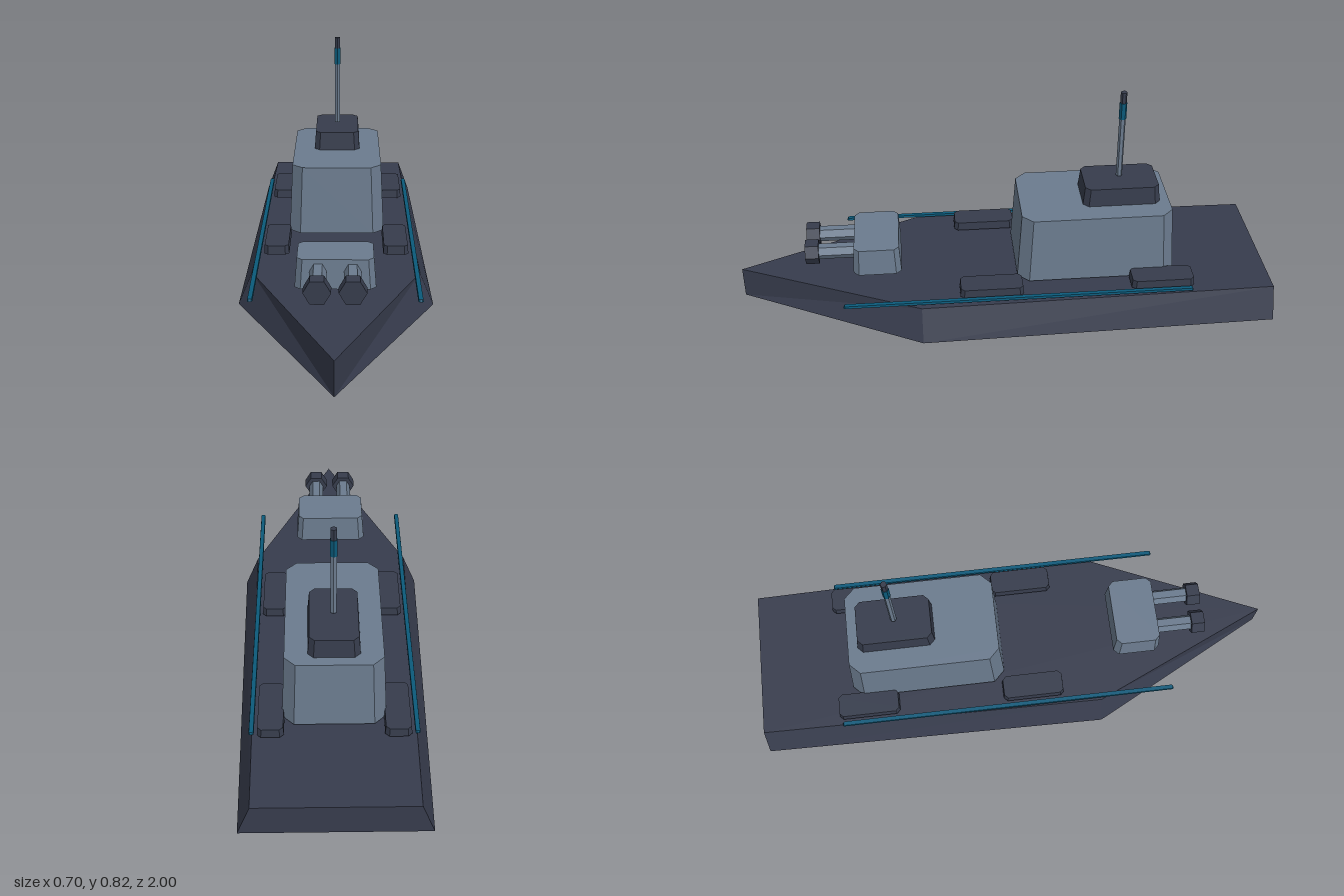
import * as THREE from 'three';

const material = (name, color) => {
  const m = new THREE.MeshStandardMaterial({ color, flatShading: true });
  m.name = name;
  return m;
};

// Upright block with chamfered corners; sx and sz scale its top
function taperedBlock(w, h, d, chamfer, sx, sz) {
  const x = w / 2, z = d / 2, c = chamfer;
  const outline = [[x, c - z], [x, z - c], [x - c, z], [c - x, z], [-x, z - c], [-x, c - z], [c - x, -z], [x - c, -z]];
  const shape = new THREE.Shape(outline.map(([a, b]) => new THREE.Vector2(a, b)));
  const geo = new THREE.ExtrudeGeometry(shape, { depth: h, bevelEnabled: false });
  geo.rotateX(-Math.PI / 2);
  const p = geo.attributes.position;
  for (let i = 0; i < p.count; i++) {
    const t = p.getY(i) / h;
    p.setX(i, p.getX(i) * (1 + (sx - 1) * t));
    p.setZ(i, p.getZ(i) * (1 + (sz - 1) * t));
  }
  geo.computeVertexNormals();
  return geo;
}

// Hull shell, open underneath: sloped sides and a flat deck
function hullGeometry() {
  const low = [[0, 1], [0.35, 0.32], [0.325, -1], [-0.325, -1], [-0.35, 0.32]].map(([x, z]) => [x, 0, z]);
  const top = [[0, 1], [0.3, 0.32], [0.28, -1], [-0.28, -1], [-0.3, 0.32]].map(([x, z]) => [x, 0.122, z]);
  const tris = [];
  low.forEach((a, i) => {
    const j = (i + 1) % low.length, b = low[j];
    if (j === 0) tris.push(a, b, top[i], b, top[j], top[i]);
    else tris.push(a, b, top[j], a, top[j], top[i]);
  });
  for (let i = 1; i < top.length - 1; i++) tris.push(top[0], top[i], top[i + 1]);
  const geo = new THREE.BufferGeometry();
  geo.setAttribute('position', new THREE.Float32BufferAttribute(tris.flat(), 3));
  geo.computeVertexNormals();
  return geo;
}

export function createModel() {
  const ship = new THREE.Group();
  ship.name = 'warship';

  const dark = material('dark slate', 0x363c4c);
  const grey = material('blue grey', 0x6b7b8e);
  const teal = material('deep teal', 0x0b5a7a);
  const hullPaint = material('hull slate', 0x373c4d);
  hullPaint.side = THREE.DoubleSide;

  const add = (name, geo, mat, x, y, z, parent = ship) => {
    const mesh = new THREE.Mesh(geo, mat);
    mesh.name = name;
    mesh.position.set(x, y, z);
    parent.add(mesh);
    return mesh;
  };

  add('hull', hullGeometry(), hullPaint, 0, 0, 0);

  // Superstructure and bridge
  add('superstructure', taperedBlock(0.364, 0.26, 0.594, 0.042, 0.935, 0.945), grey, 0, 0.133, -0.343);
  add('bridge', taperedBlock(0.18, 0.07, 0.29, 0.02, 0.94, 0.95), dark, 0, 0.394, -0.442);

  // Mast with beacon
  const rod = (r, h) => new THREE.CylinderGeometry(r, r, h, 6);
  add('mast', rod(0.012, 0.245), grey, 0, 0.5955, -0.44);
  add('mastBeacon', rod(0.014, 0.065), teal, 0, 0.747, -0.44);
  add('mastTip', rod(0.012, 0.045), dark, 0, 0.8, -0.44);

  // Deck lockers and side rails
  for (const side of [1, -1]) {
    for (const z of [0.058, -0.583]) {
      add('deckLocker', taperedBlock(0.093, 0.033, 0.236, 0.014, 0.95, 0.975), dark, side * 0.22, 0.133, z);
    }
    add('sideRail', taperedBlock(0.018, 0.009, 1.295, 0.004, 0.85, 0.995), teal, side * 0.286, 0.136, -0.043);
  }

  // Forward turret with two guns
  const turret = new THREE.Group();
  turret.name = 'turret';
  ship.add(turret);
  add('turretHousing', taperedBlock(0.276, 0.104, 0.18, 0.02, 0.94, 0.93), grey, 0, 0.167, 0.479, turret);
  // Hexagonal gun part with points to the sides, lying along z
  const hex = (r, len) => new THREE.CylinderGeometry(r, r, len, 6).rotateY(Math.PI / 6).rotateX(Math.PI / 2);
  for (const side of [1, -1]) {
    add('gunBarrel', hex(0.029, 0.17), grey, side * 0.058, 0.23, 0.625, turret);
    add('gunMuzzle', hex(0.046, 0.05), dark, side * 0.058, 0.23, 0.72, turret);
  }

  return ship;
}
